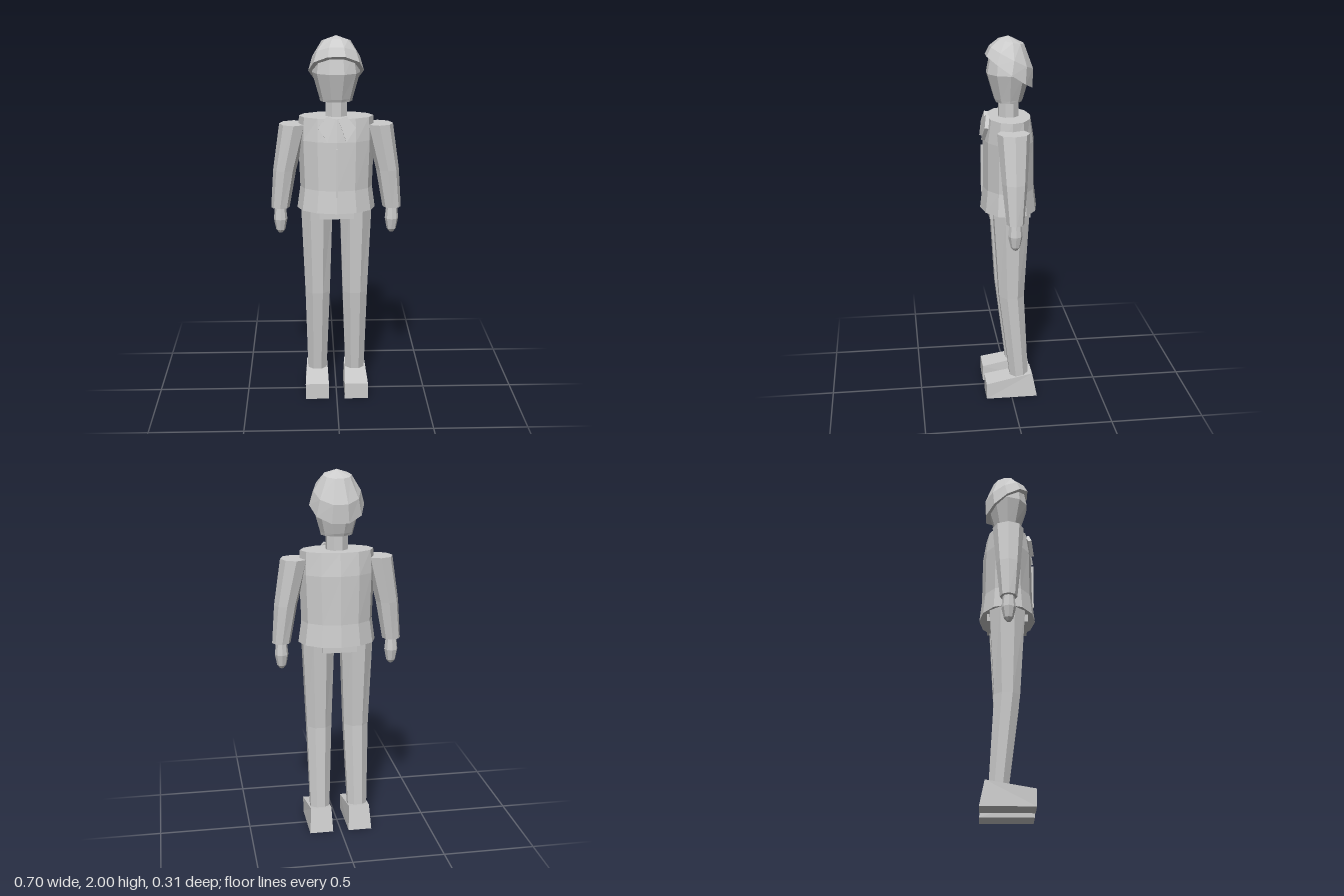
import * as THREE from 'three';

const grey = new THREE.MeshStandardMaterial({ color: 0xcccccc, flatShading: true });
grey.name = 'plain grey';

// Closed loft through elliptical rings, bottom to top: [x, y, z, rx, rz, tilt]
function loft(rings, sides, phase = 0) {
  const pos = [], idx = [];
  for (const [x, y, z, rx, rz, tilt = 0] of rings) {
    for (let i = 0; i < sides; i++) {
      const a = ((i + phase) / sides) * Math.PI * 2;
      const dz = Math.sin(a) * rz;
      pos.push(x + Math.cos(a) * rx, y + tilt * dz, z + dz);
    }
  }
  const last = rings.length - 1;
  const bottom = pos.length / 3, top = bottom + 1;
  pos.push(...rings[0].slice(0, 3), ...rings[last].slice(0, 3));
  for (let i = 0; i < sides; i++) {
    const j = (i + 1) % sides;
    for (let r = 0; r < last; r++) {
      const b = r * sides, t = b + sides;
      idx.push(b + i, t + i, b + j, t + i, t + j, b + j);
    }
    idx.push(bottom, i, j, top, last * sides + j, last * sides + i);
  }
  const g = new THREE.BufferGeometry();
  g.setAttribute('position', new THREE.Float32BufferAttribute(pos, 3));
  g.setIndex(idx);
  const flat = g.toNonIndexed();
  flat.computeVertexNormals();
  return flat;
}

// Wedge shoe: high narrow heel, low toe
function shoeGeometry() {
  const g = new THREE.BoxGeometry(0.13, 0.09, 0.284);
  g.translate(0.109, 0.045, 0);
  const p = g.attributes.position;
  for (let i = 0; i < p.count; i++) {
    if (p.getY(i) > 0.05 && p.getZ(i) < 0) {
      p.setXYZ(i, 0.107 + (p.getX(i) - 0.109) * 0.88, 0.137, -0.115);
    }
  }
  g.computeVertexNormals();
  return g;
}

// Pointed collar flap, leaning forward at its lower tip
function collarGeometry() {
  const s = new THREE.Shape();
  [[0.008, -0.02], [0.05, 0], [0.098, -0.06], [0.05, -0.135]].forEach(([x, y], i) =>
    i ? s.lineTo(x, y) : s.moveTo(x, y));
  const g = new THREE.ExtrudeGeometry(s, { depth: 0.02, bevelEnabled: false });
  g.rotateX(-0.2);
  g.translate(0, 1.595, 0.103);
  return g;
}

export function createModel() {
  const model = new THREE.Group();
  model.name = 'figure';
  const add = (name, geometry, parent = model) => {
    const m = new THREE.Mesh(geometry, grey);
    m.name = name;
    parent.add(m);
    return m;
  };

  // Head, neck and tilted hair cap
  add('head', loft([
    [0, 1.66, 0, 0.085, 0.07], [0, 1.675, 0, 0.088, 0.077],
    [0, 1.81, 0, 0.126, 0.118], [0, 1.9, 0.005, 0.11, 0.095],
  ], 10));
  add('neck', loft([[0, 1.56, 0, 0.06, 0.056], [0, 1.67, 0, 0.06, 0.056]], 8, 0.5));
  add('hair', loft([
    [0, 1.818, -0.002, 0.146, 0.125, 0.7], [0, 1.89, -0.016, 0.125, 0.115, 0.52],
    [0, 1.972, -0.016, 0.075, 0.067, 0.2], [0, 2, 0, 0.0005, 0.0005],
  ], 10));

  // Jacket and hips
  add('jacket', loft([
    [0, 1.08, 0, 0.21, 0.153], [0, 1.2, 0, 0.193, 0.139],
    [0, 1.46, 0, 0.202, 0.136], [0, 1.582, 0, 0.197, 0.117],
  ], 12));
  add('hips', new THREE.BoxGeometry(0.185, 0.08, 0.22)).position.y = 1.08;
  add('zip', new THREE.BoxGeometry(0.012, 0.26, 0.025)).position.set(0, 1.297, 0.135);

  // Paired parts, turned through rather than mirrored so faces stay outward
  for (const side of [1, -1]) {
    const label = side > 0 ? 'left' : 'right';
    const mx = (rings) => rings.map(([x, ...rest]) => [x * side, ...rest]);

    add(label + 'Sleeve', loft(mx([
      [0.302, 1.08, 0, 0.05, 0.046], [0.276, 1.29, 0, 0.062, 0.066],
      [0.225, 1.54, 0, 0.077, 0.085],
    ]), 8));
    add(label + 'Hand', loft(mx([
      [0.302, 0.938, 0, 0.012, 0.012], [0.302, 0.955, 0, 0.025, 0.025],
      [0.302, 1.015, 0, 0.037, 0.038], [0.302, 1.09, 0, 0.029, 0.03],
    ]), 8));
    add(label + 'Leg', loft(mx([
      [0.106, 0.12, -0.045, 0.057, 0.055], [0.103, 0.6, -0.003, 0.073, 0.073],
      [0.105, 1.1, -0.002, 0.092, 0.104],
    ]), 8, 0.5));
    add(label + 'Shoe', shoeGeometry()).scale.x = side;
    add(label + 'Collar', collarGeometry()).scale.x = side;
  }
  return model;
}
